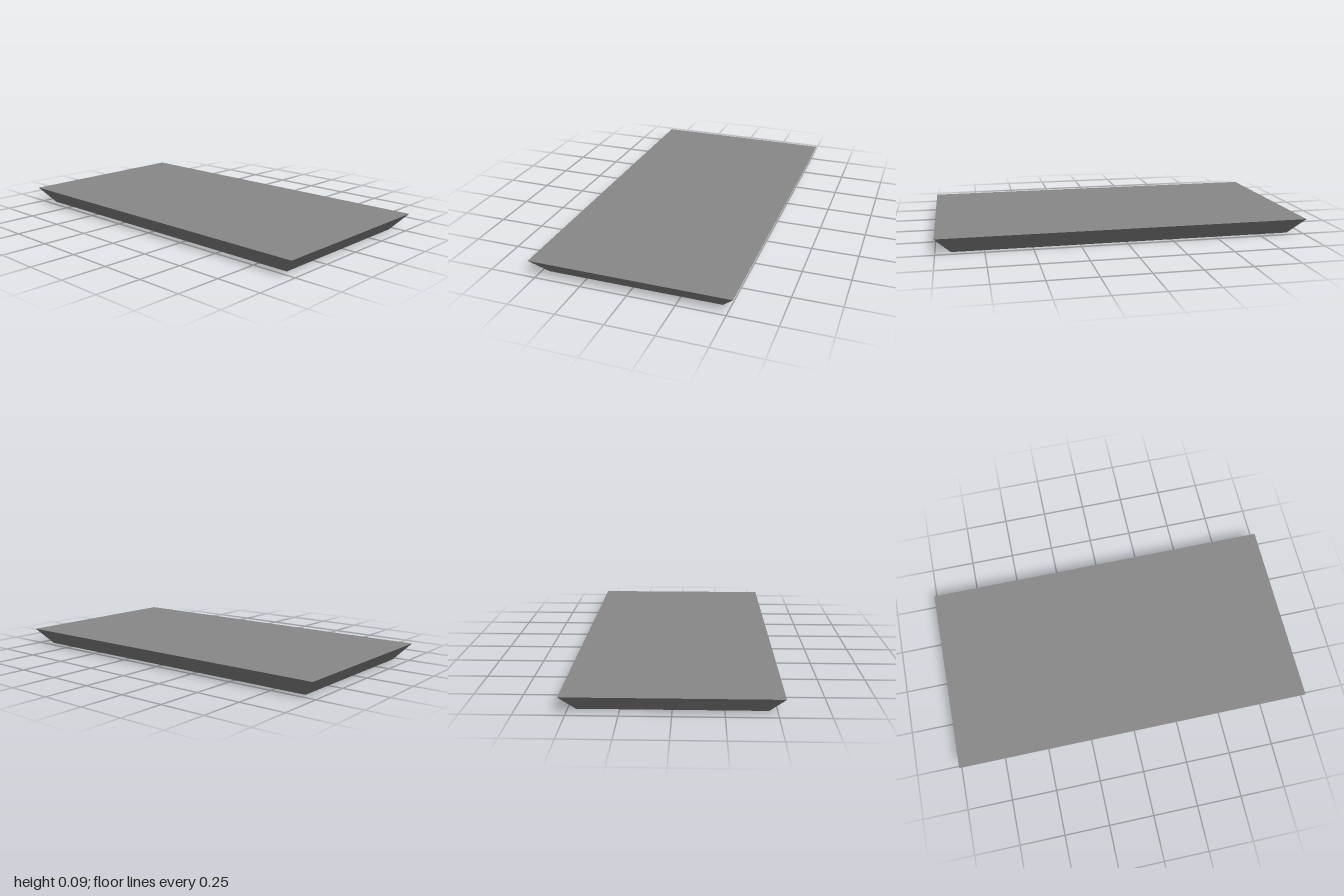
import * as THREE from 'three';

const HEIGHT = 0.091, DEPTH = 0.036;
const TOP = [1, 0.531], BASE = [0.92, 0.46];

// Outline of one groove in (x, z), with pointed ends
const grooveOutline = (z) => [
  [-0.9, 0], [-0.855, -0.028], [0.855, -0.028],
  [0.9, 0], [0.855, 0.028], [-0.855, 0.028],
].map(([x, dz]) => new THREE.Vector2(x, z + dz));

// Flat face looking down at height y
function downFace(shape, y) {
  return new THREE.ShapeGeometry(shape).rotateX(Math.PI / 2).translate(0, y, 0);
}

// Inward-facing walls of a recess
function recessWalls(points) {
  const pos = [];
  points.forEach((p, i) => {
    const q = points[(i + 1) % points.length];
    pos.push(p.x, 0, p.y, q.x, 0, q.y, q.x, DEPTH, q.y);
    pos.push(p.x, 0, p.y, q.x, DEPTH, q.y, p.x, DEPTH, p.y);
  });
  const geo = new THREE.BufferGeometry();
  geo.setAttribute('position', new THREE.Float32BufferAttribute(pos, 3));
  geo.computeVertexNormals();
  return geo;
}

function makeMaterial(name, color) {
  const material = new THREE.MeshStandardMaterial({ color });
  material.name = name;
  return material;
}

export function createModel() {
  const group = new THREE.Group();
  group.name = 'groovedPanel';
  const grey = makeMaterial('grey', 0x888888);
  const black = makeMaterial('black', 0x0c0c0c);

  const add = (name, geo, material, parent = group) => {
    const mesh = new THREE.Mesh(geo, material);
    mesh.name = name;
    parent.add(mesh);
  };

  // Top and sloping sides: a tapered box without its underside
  const shell = new THREE.BoxGeometry(2, HEIGHT, 2).translate(0, HEIGHT / 2, 0);
  const p = shell.attributes.position;
  for (let i = 0; i < p.count; i++) {
    const [hx, hz] = p.getY(i) > HEIGHT / 2 ? TOP : BASE;
    p.setX(i, Math.sign(p.getX(i)) * hx);
    p.setZ(i, Math.sign(p.getZ(i)) * hz);
  }
  const index = Array.from(shell.index.array);
  index.splice(18, 6);
  shell.setIndex(index);
  shell.clearGroups();
  shell.computeVertexNormals();
  add('slab', shell, grey);

  // Underside with six recessed grooves, each with a black floor
  const [bx, bz] = BASE;
  const underside = new THREE.Shape([[-bx, -bz], [bx, -bz], [bx, bz], [-bx, bz]]
    .map(([x, z]) => new THREE.Vector2(x, z)));
  for (let i = 0; i < 6; i++) {
    const outline = grooveOutline((i - 2.5) * 0.135);
    underside.holes.push(new THREE.Path(outline));
    const groove = new THREE.Group();
    groove.name = `groove${i + 1}`;
    add('grooveWalls', recessWalls(outline), grey, groove);
    add('grooveFloor', downFace(new THREE.Shape(outline), DEPTH), black, groove);
    group.add(groove);
  }
  add('underside', downFace(underside, 0), grey);

  return group;
}
